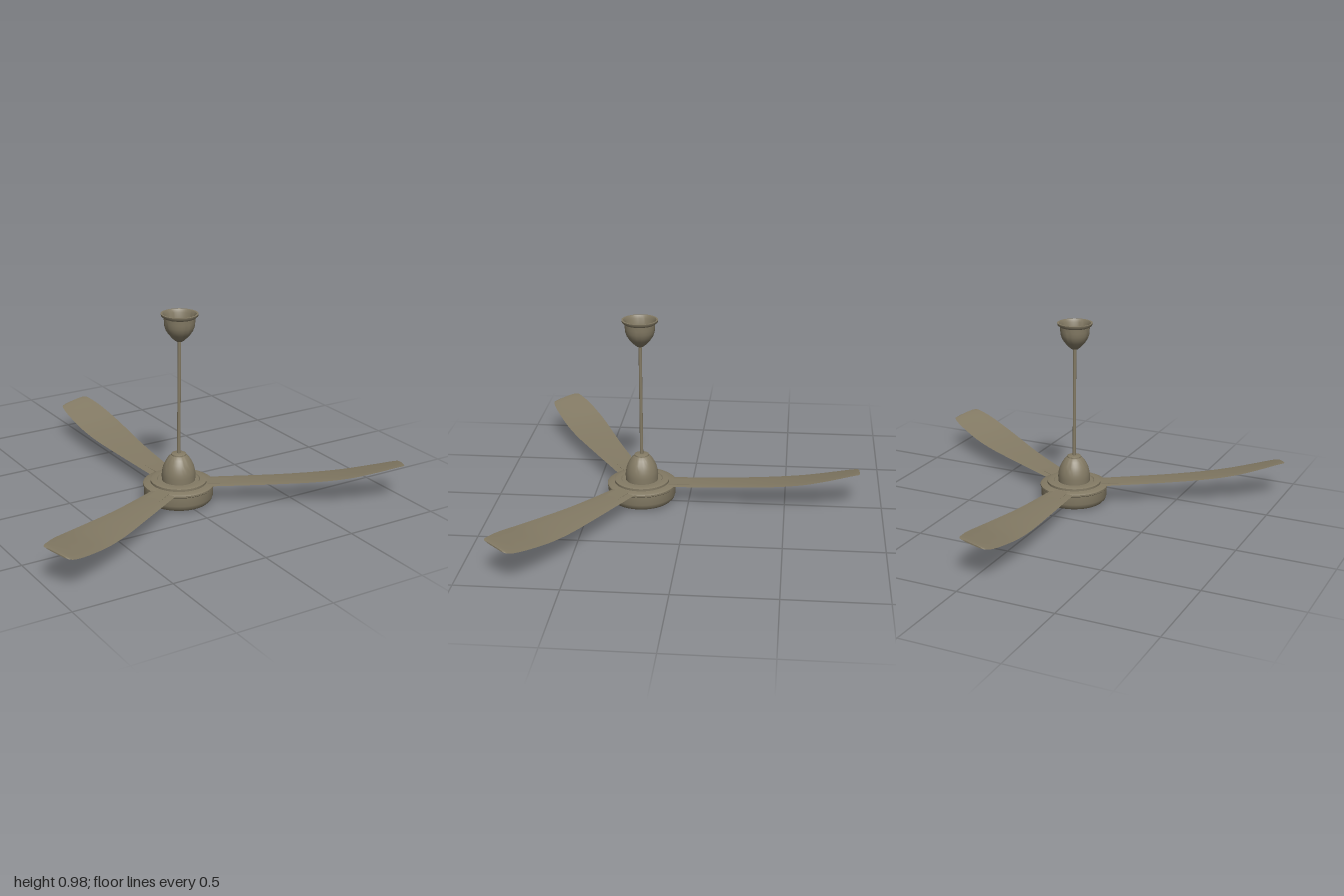
import * as THREE from 'three';
import { toCreasedNormals } from 'three/addons/utils/BufferGeometryUtils.js';

const material = new THREE.MeshStandardMaterial({ color: 0x837a64 });
const openMaterial = new THREE.MeshStandardMaterial({ color: 0x837a64, side: THREE.DoubleSide });

function part(name, geometry, mat = material) {
  const mesh = new THREE.Mesh(geometry, mat);
  mesh.name = name;
  return mesh;
}

// Turned part from [radius, height] pairs, listed bottom to top
function turned(name, profile, mat) {
  const points = profile.map(([r, y]) => new THREE.Vector2(r, y));
  return part(name, toCreasedNormals(new THREE.LatheGeometry(points, 48), 0.6), mat);
}

// Blade stations: distance from hub, left edge, right edge, left height, right height
const STATIONS = [
  [0.13, -0.07, 0.06, 0.098, 0.1],
  [0.3, -0.078, 0.068, 0.1, 0.108],
  [0.5, -0.088, 0.08, 0.103, 0.12],
  [0.7, -0.1, 0.096, 0.111, 0.138],
  [0.85, -0.104, 0.1, 0.125, 0.158],
  [1.0, -0.102, 0.088, 0.15, 0.187],
  [1.07, -0.098, 0.074, 0.164, 0.2],
  [1.105, -0.092, 0.066, 0.172, 0.205],
  [1.12, -0.084, 0.058, 0.176, 0.205],
  [1.126, -0.07, 0.045, 0.178, 0.204],
];

// Thin twisted blade: lens-shaped loops lofted between two edge curves
function bladeGeometry() {
  const left = new THREE.CatmullRomCurve3(STATIONS.map(([r, a, , y]) => new THREE.Vector3(a, y, -r)));
  const right = new THREE.CatmullRomCurve3(STATIONS.map(([r, , b, , y]) => new THREE.Vector3(b, y, -r)));
  const rows = 54, across = 8, loop = across * 2;
  const positions = [], index = [];
  for (let i = 0; i <= rows; i++) {
    const a = left.getPoint(i / rows), b = right.getPoint(i / rows);
    for (let j = 0; j < loop; j++) {
      const top = j <= across;
      const s = (top ? j : loop - j) / across;
      const p = a.clone().lerp(b, s);
      const bulge = 0.0035 * Math.sqrt(Math.max(0, 4 * s * (1 - s)));
      positions.push(p.x, p.y + (top ? bulge : -bulge), p.z);
    }
  }
  for (let i = 0; i < rows; i++) {
    for (let j = 0; j < loop; j++) {
      const p = i * loop + j, q = i * loop + (j + 1) % loop;
      index.push(p, q, p + loop, q, q + loop, p + loop);
    }
  }
  // End caps
  const last = rows * loop;
  for (let j = 1; j < loop - 1; j++) {
    index.push(0, j + 1, j, last, last + j, last + j + 1);
  }
  const geometry = new THREE.BufferGeometry();
  geometry.setAttribute('position', new THREE.Float32BufferAttribute(positions, 3));
  geometry.setIndex(index);
  return toCreasedNormals(geometry, 0.7);
}

// Flat blade holder, slightly wider at its outer end
function bracketGeometry() {
  const shape = new THREE.Shape();
  shape.moveTo(-0.032, 0.1);
  shape.lineTo(0.036, 0.1);
  shape.lineTo(0.04, 0.35);
  shape.lineTo(0.03, 0.365);
  shape.lineTo(-0.035, 0.365);
  shape.lineTo(-0.045, 0.35);
  const geometry = new THREE.ExtrudeGeometry(shape, { depth: 0.006, bevelEnabled: false });
  return geometry.rotateX(-Math.PI / 2).rotateZ(0.04).translate(0, 0.1, 0);
}

export function createModel() {
  const fan = new THREE.Group();
  fan.name = 'ceilingFan';

  // Motor housing with rounded underside and stepped top
  fan.add(turned('motorHousing', [
    [0, 0], [0.11, 0.001], [0.138, 0.004], [0.158, 0.012], [0.17, 0.025], [0.175, 0.042],
    [0.175, 0.086], [0.179, 0.09], [0.179, 0.099], [0.172, 0.104], [0.15, 0.105],
    [0.142, 0.107], [0.142, 0.119], [0.135, 0.122], [0.108, 0.122], [0.104, 0.117], [0, 0.117],
  ]));

  // Dome over the motor
  fan.add(turned('motorDome', [
    [0.084, 0.112], [0.085, 0.145], [0.083, 0.165], [0.077, 0.19], [0.067, 0.213],
    [0.054, 0.234], [0.042, 0.247], [0.038, 0.25], [0.037, 0.256], [0.03, 0.259], [0, 0.259],
  ]));

  // Hanging rod
  const rod = part('downRod', new THREE.CylinderGeometry(0.0085, 0.0085, 0.62, 24));
  rod.position.y = 0.56;
  fan.add(rod);

  // Ceiling cup, hollow and open at the top
  fan.add(turned('ceilingCup', [
    [0.008, 0.84], [0.018, 0.843], [0.032, 0.855], [0.054, 0.879], [0.067, 0.899],
    [0.074, 0.92], [0.076, 0.94], [0.077, 0.962], [0.084, 0.966], [0.09, 0.972],
    [0.092, 0.982], [0.083, 0.982], [0.074, 0.966], [0.072, 0.935], [0.062, 0.9],
    [0.03, 0.86], [0.008, 0.848],
  ], openMaterial));

  // Three blades with their holders
  const blade = bladeGeometry(), bracket = bracketGeometry();
  for (let i = 0; i < 3; i++) {
    const arm = new THREE.Group();
    arm.name = 'bladeArm';
    arm.add(part('blade', blade), part('bladeBracket', bracket));
    arm.rotation.y = (i * Math.PI * 2) / 3;
    fan.add(arm);
  }

  // The hub sits forward so the whole fan is centred
  fan.position.set(-0.008, 0, 0.245);
  const model = new THREE.Group();
  model.name = 'model';
  model.add(fan);
  return model;
}
